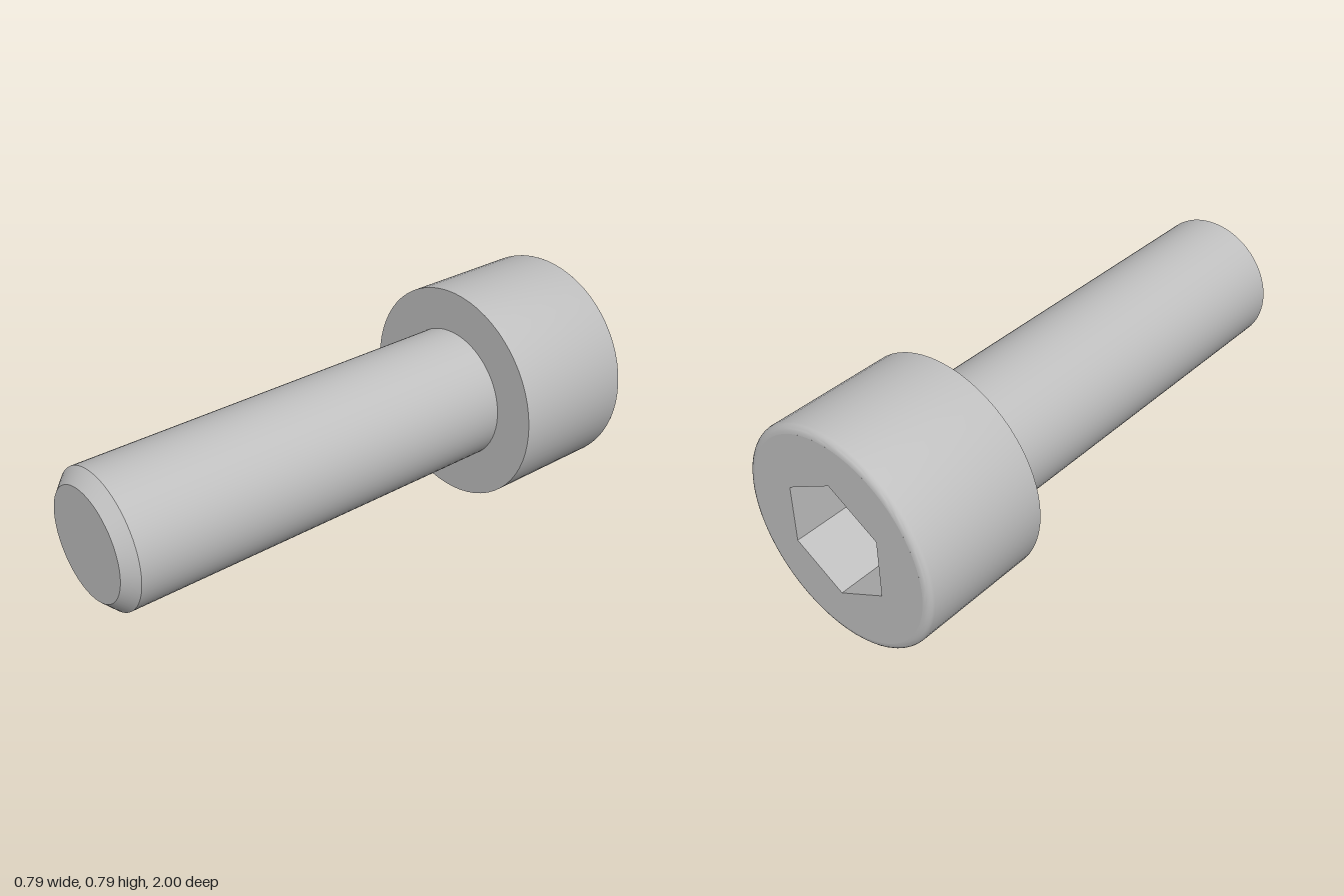
import * as THREE from 'three';
import { toCreasedNormals } from 'three/addons/utils/BufferGeometryUtils.js';

const SEGMENTS = 64;
const HEAD_R = 0.394, HEAD_BACK = -1, HEAD_FRONT = -0.517, FILLET = 0.03;
const SHANK_R = 0.242, TIP_R = 0.196, CHAMFER_Z = 0.955, TIP_Z = 1;
const HEX_R = 0.216, HEX_DEPTH = 0.41;

// Turned part along z from [radius, z] pairs, with sharp edges kept
function turned(points) {
  const profile = points.map(([r, z]) => new THREE.Vector2(r, z));
  const geometry = new THREE.LatheGeometry(profile, SEGMENTS).rotateX(Math.PI / 2);
  return toCreasedNormals(geometry, 0.5);
}

// Hexagon with corners at the top and bottom
function hexagon() {
  return Array.from({ length: 6 }, (_, i) => {
    const a = Math.PI / 2 + (i * Math.PI) / 3;
    return new THREE.Vector2(HEX_R * Math.cos(a), HEX_R * Math.sin(a));
  });
}

export function createModel() {
  const group = new THREE.Group();
  group.name = 'socketHeadScrew';
  const steel = new THREE.MeshStandardMaterial({ color: 0xc0c0c0 });
  steel.name = 'steel grey';

  const add = (name, geometry, z = 0) => {
    const mesh = new THREE.Mesh(geometry, steel);
    mesh.name = name;
    mesh.position.set(0, HEAD_R, z);
    group.add(mesh);
  };

  // Head: rounded back rim, side wall and flat shoulder
  const rim = [];
  for (let i = 0; i <= 6; i++) {
    const a = (i / 6) * Math.PI / 2;
    rim.push([HEAD_R - FILLET + FILLET * Math.sin(a), HEAD_BACK + FILLET - FILLET * Math.cos(a)]);
  }
  add('head', turned([...rim, [HEAD_R, HEAD_FRONT], [SHANK_R, HEAD_FRONT]]));

  // Shank with chamfered tip
  add('shank', turned([[SHANK_R, HEAD_FRONT], [SHANK_R, CHAMFER_Z], [TIP_R, TIP_Z], [0, TIP_Z]]));

  // Flat back face and walls of the hex socket
  const face = new THREE.Shape().absarc(0, 0, HEAD_R - FILLET, 0, Math.PI * 2);
  face.holes.push(new THREE.Path(hexagon()));
  add('socketFace', new THREE.ExtrudeGeometry(face, {
    depth: HEX_DEPTH, bevelEnabled: false, curveSegments: SEGMENTS,
  }), HEAD_BACK);

  // Socket floor, facing back
  const floor = new THREE.ShapeGeometry(new THREE.Shape(hexagon())).rotateY(Math.PI);
  add('socketFloor', floor, HEAD_BACK + HEX_DEPTH);

  return group;
}
